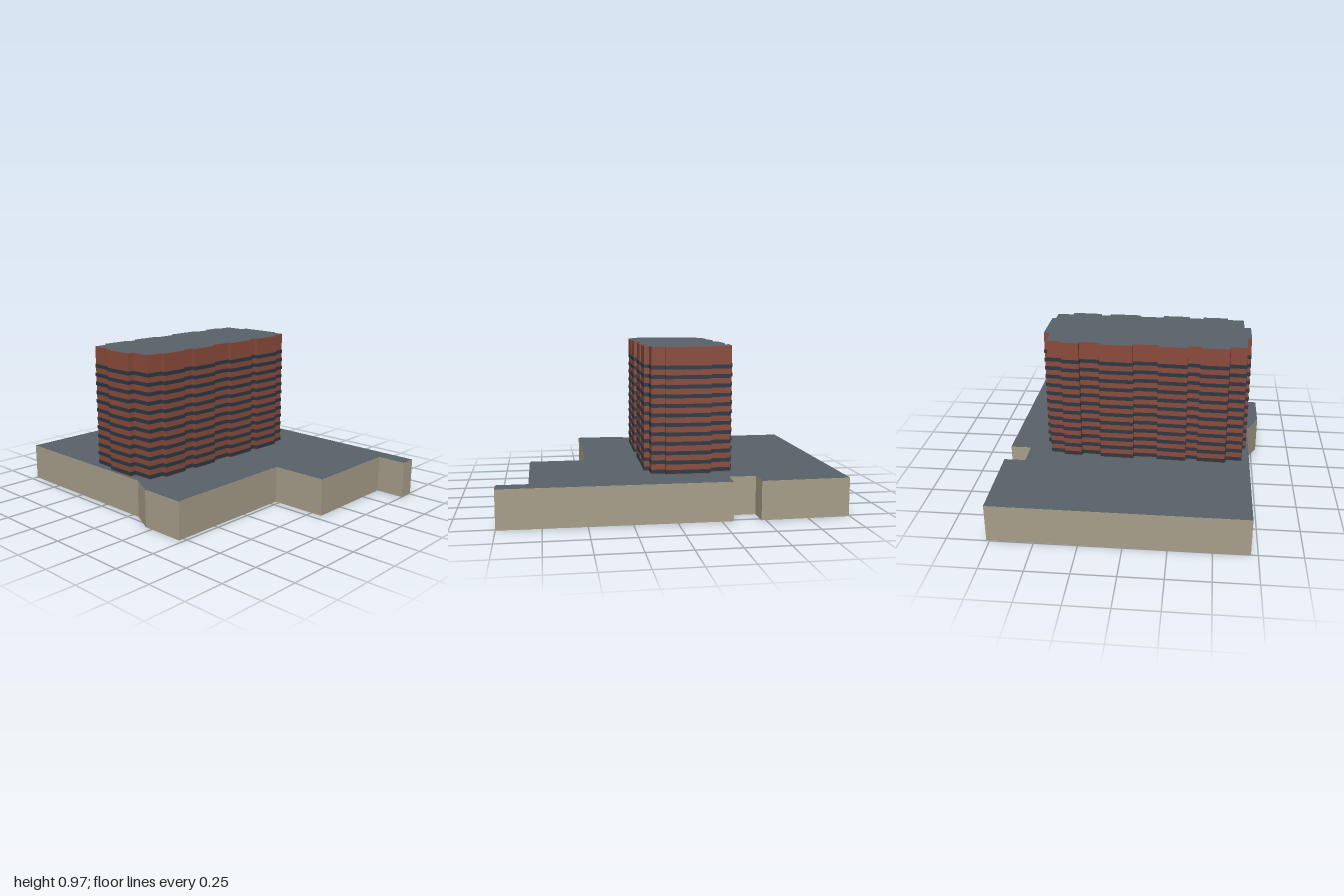
import * as THREE from 'three';

const PODIUM_TOP = 0.227;
const TOWER_TOP = 0.967;

// Footprints as [x, z], clockwise seen from above
const podiumPlan = [
  [-0.71, -1], [0.77, -0.995], [0.78, -0.475], [0.65, -0.475], [0.65, -0.315],
  [0.775, -0.315], [0.765, 1], [0.665, 1], [0.665, 0.82], [0.05, 0.82],
  [0.05, 0.475], [-0.785, 0.475], [-0.785, 0.2], [-0.71, 0.05],
];
const towerPlan = [
  // back, with shallow bays
  [-0.66, -0.37], [-0.565, -0.365], [-0.56, -0.4], [-0.395, -0.395], [-0.395, -0.375],
  [-0.32, -0.37], [-0.32, -0.4], [-0.15, -0.392], [-0.15, -0.37], [-0.003, -0.37],
  [-0.003, -0.395], [0.195, -0.39], [0.2, -0.365], [0.315, -0.36], [0.315, -0.385],
  [0.42, -0.38], [0.42, -0.36], [0.505, -0.355],
  // left end
  [0.508, -0.23], [0.547, -0.23], [0.545, 0.035], [0.522, 0.035], [0.522, 0.115],
  // front, with shallow bays
  [0.425, 0.115], [0.425, 0.146], [0.245, 0.14], [0.245, 0.113], [0.19, 0.113],
  [0.185, 0.14], [0.0, 0.135], [0.0, 0.11], [-0.15, 0.107], [-0.15, 0.135],
  [-0.315, 0.132], [-0.315, 0.108], [-0.4, 0.105], [-0.4, 0.128], [-0.553, 0.125],
  [-0.553, 0.097], [-0.65, 0.092],
  // right end
  [-0.652, -0.035], [-0.69, -0.035], [-0.69, -0.215], [-0.667, -0.215],
];

// Shape from a footprint, pushed outward by d
function planShape(plan, d = 0) {
  const p = plan.map(([x, z]) => new THREE.Vector2(x, -z));
  const n = p.length;
  const normal = (a, b) => new THREE.Vector2(a.y - b.y, b.x - a.x).normalize();
  return new THREE.Shape(p.map((v, i) => {
    const n1 = normal(p[(i + n - 1) % n], v);
    const n2 = normal(v, p[(i + 1) % n]);
    const k = d / (1 + n1.dot(n2));
    return n1.add(n2).multiplyScalar(k).add(v);
  }));
}

function addMesh(group, name, geometry, material, y) {
  const mesh = new THREE.Mesh(geometry.rotateX(-Math.PI / 2), material);
  mesh.name = name;
  mesh.position.y = y;
  group.add(mesh);
}

function prism(shape, depth) {
  return new THREE.ExtrudeGeometry(shape, { depth, bevelEnabled: false });
}

export function createModel() {
  const material = (name, color) => {
    const m = new THREE.MeshStandardMaterial({ color });
    m.name = name;
    return m;
  };
  const stone = material('stone', 0xa89f8a);
  const brick = material('brick', 0x8a4b3b);
  const glass = material('glass', 0x2b3845);
  const roof = material('roof', 0x596269);

  const model = new THREE.Group();
  model.name = 'towerBlock';

  // Podium and its flat roof
  const podium = planShape(podiumPlan);
  addMesh(model, 'podium', prism(podium, PODIUM_TOP - 0.001), stone, 0);
  addMesh(model, 'podiumRoof', new THREE.ShapeGeometry(podium), roof, PODIUM_TOP);

  // Tower and its flat roof
  const tower = planShape(towerPlan);
  addMesh(model, 'tower', prism(tower, TOWER_TOP - 0.201), brick, 0.2);
  addMesh(model, 'towerRoof', new THREE.ShapeGeometry(tower), roof, TOWER_TOP);

  // Twelve window bands, slightly proud of the brick
  const band = planShape(towerPlan, 0.003);
  for (let i = 0; i < 12; i++) {
    addMesh(model, 'windowBand' + (i + 1), prism(band, 0.022), glass, 0.232 + i * 0.0551);
  }
  return model;
}
